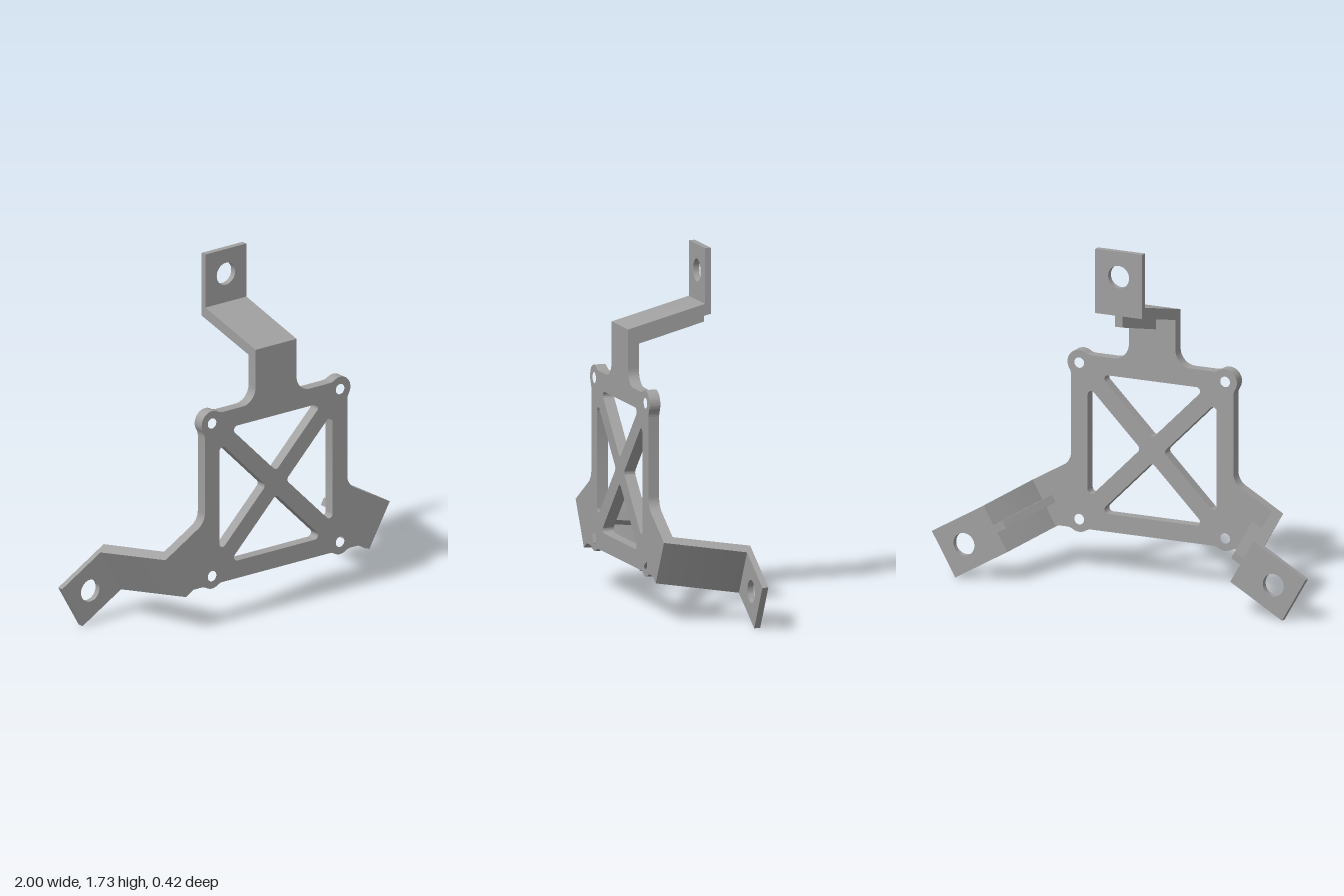
import * as THREE from 'three';
import { toCreasedNormals } from 'three/addons/utils/BufferGeometryUtils.js';

const CENTRE_Y = 0.65, BACK = 0.155, FRONT = 0.21;   // hub height, plate faces in z
const HALF = 0.125, ROOT = 0.66, EDGE = 0.434;       // arm half width, arm root radius, plate half size
const BOSS = 0.39, BOSS_R = 0.063, FIL = 0.06;       // screw bosses and their blends
const V = (x, y) => new THREE.Vector2(x, y);

function extrude(shape, depth) {
  const g = new THREE.ExtrudeGeometry(shape, { depth, bevelEnabled: false, curveSegments: 20 });
  return toCreasedNormals(g, 0.5);
}

function circleHole(x, y, r) {
  return new THREE.Path().absarc(x, y, r, 0, Math.PI * 2, true);
}

// Convex counter-clockwise polygon with rounded corners
function roundedPath(pts, r) {
  const path = new THREE.Path();
  pts.forEach((p, i) => {
    const a = pts[(i + pts.length - 1) % pts.length].clone().sub(p).normalize();
    const b = pts[(i + 1) % pts.length].clone().sub(p).normalize();
    const half = Math.acos(a.dot(b)) / 2;
    const c = a.clone().add(b).normalize().multiplyScalar(r / Math.sin(half)).add(p);
    const s = p.clone().addScaledVector(a, r / Math.tan(half)).sub(c).angle();
    const e = p.clone().addScaledVector(b, r / Math.tan(half)).sub(c).angle();
    path.absarc(c.x, c.y, r, s, e, false);
  });
  path.closePath();
  return path;
}

// Right half of the plate outline, mirrored to the left
function plateShape() {
  const dy = EDGE - BOSS + FIL;
  const dx = Math.sqrt((BOSS_R + FIL) ** 2 - dy * dy);
  const t = Math.atan2(dy, dx), P = Math.PI;
  const armPoint = (r, side) => [r * Math.cos(P / 6) + side * HALF * 0.5, -r * 0.5 + side * HALF * Math.cos(P / 6)];
  const h = new THREE.Path();
  h.moveTo(0, ROOT);
  h.lineTo(HALF, ROOT);
  h.absarc(HALF + 0.08, EDGE + 0.08, 0.08, P, 1.5 * P, false);
  // upper boss
  h.absarc(BOSS - dx, EDGE + FIL, FIL, -P / 2, -t, false);
  h.absarc(BOSS, BOSS, BOSS_R, P - t, t - P / 2, true);
  h.absarc(EDGE + FIL, BOSS - dx, FIL, P / 2 + t, P, false);
  // blend into the lower arm
  h.absarc(EDGE + 0.08, -0.06, 0.08, P, P * 4 / 3, false);
  h.lineTo(...armPoint(ROOT, 1));
  h.lineTo(...armPoint(ROOT, -1));
  h.lineTo(0.502, -EDGE);
  // lower boss
  h.absarc(BOSS + dx, -EDGE - FIL, FIL, P / 2, P - t, false);
  h.absarc(BOSS, -BOSS, BOSS_R, -t, t - P, true);
  h.absarc(BOSS - dx, -EDGE - FIL, FIL, t, P / 2, false);
  h.lineTo(0, -EDGE);
  const right = h.getPoints(14);
  const left = right.slice(1, -1).reverse().map(p => V(-p.x, p.y));
  const shape = new THREE.Shape([...right, ...left]);

  // four triangular windows leave the cross brace
  const inner = 0.061, outer = 0.345;
  for (let i = 0; i < 4; i++) {
    const tri = [V(inner, 0), V(outer, inner - outer), V(outer, outer - inner)];
    tri.forEach(p => p.rotateAround(V(0, 0), i * Math.PI / 2));
    shape.holes.push(roundedPath(tri, 0.02));
  }
  // screw holes
  for (const x of [-BOSS, BOSS]) for (const y of [-BOSS, BOSS]) shape.holes.push(circleHole(x, y, 0.026));
  return shape;
}

// Side profile given as [z, radius], swept across the arm's width
function profileGeometry(points, width) {
  const g = extrude(new THREE.Shape(points.map(p => V(...p))), width);
  g.translate(0, 0, -width / 2);
  g.rotateY(-Math.PI / 2);
  return g;
}

export function createModel() {
  const grey = new THREE.MeshStandardMaterial({ color: 0xa0a0a0 });
  grey.name = 'grey';
  const model = new THREE.Group();
  model.name = 'mountingBracket';
  const add = (parent, geometry, name) => {
    const m = new THREE.Mesh(geometry, grey);
    m.name = name;
    parent.add(m);
  };

  const plate = extrude(plateShape(), FRONT - BACK);
  plate.translate(0, CENTRE_Y, BACK);
  add(model, plate, 'framePlate');

  // sloping arm, stiffening rib and drilled tab
  const ramp = profileGeometry([[FRONT, ROOT], [FRONT, 0.706], [-0.18, 0.81], [-0.21, 0.81],
    [-0.21, 0.761], [BACK, 0.666], [BACK, ROOT]], HALF * 2);
  const rib = profileGeometry([[BACK, 0.666], [-0.21, 0.761], [-0.21, 0.706], [BACK, 0.606]], 0.04);
  const tabShape = new THREE.Shape([V(-HALF, 0.81), V(HALF, 0.81), V(HALF, 1.081), V(-HALF, 1.081)]);
  tabShape.holes.push(circleHole(0, 0.955, 0.056));
  const tab = extrude(tabShape, 0.03);
  tab.translate(0, 0, -0.21);

  ['topArm', 'rightArm', 'leftArm'].forEach((name, i) => {
    const arm = new THREE.Group();
    arm.name = name;
    add(arm, ramp, 'armRamp');
    add(arm, rib, 'armRib');
    add(arm, tab, 'armTab');
    arm.position.y = CENTRE_Y;
    arm.rotation.z = i * Math.PI * 2 / 3;
    model.add(arm);
  });
  return model;
}
